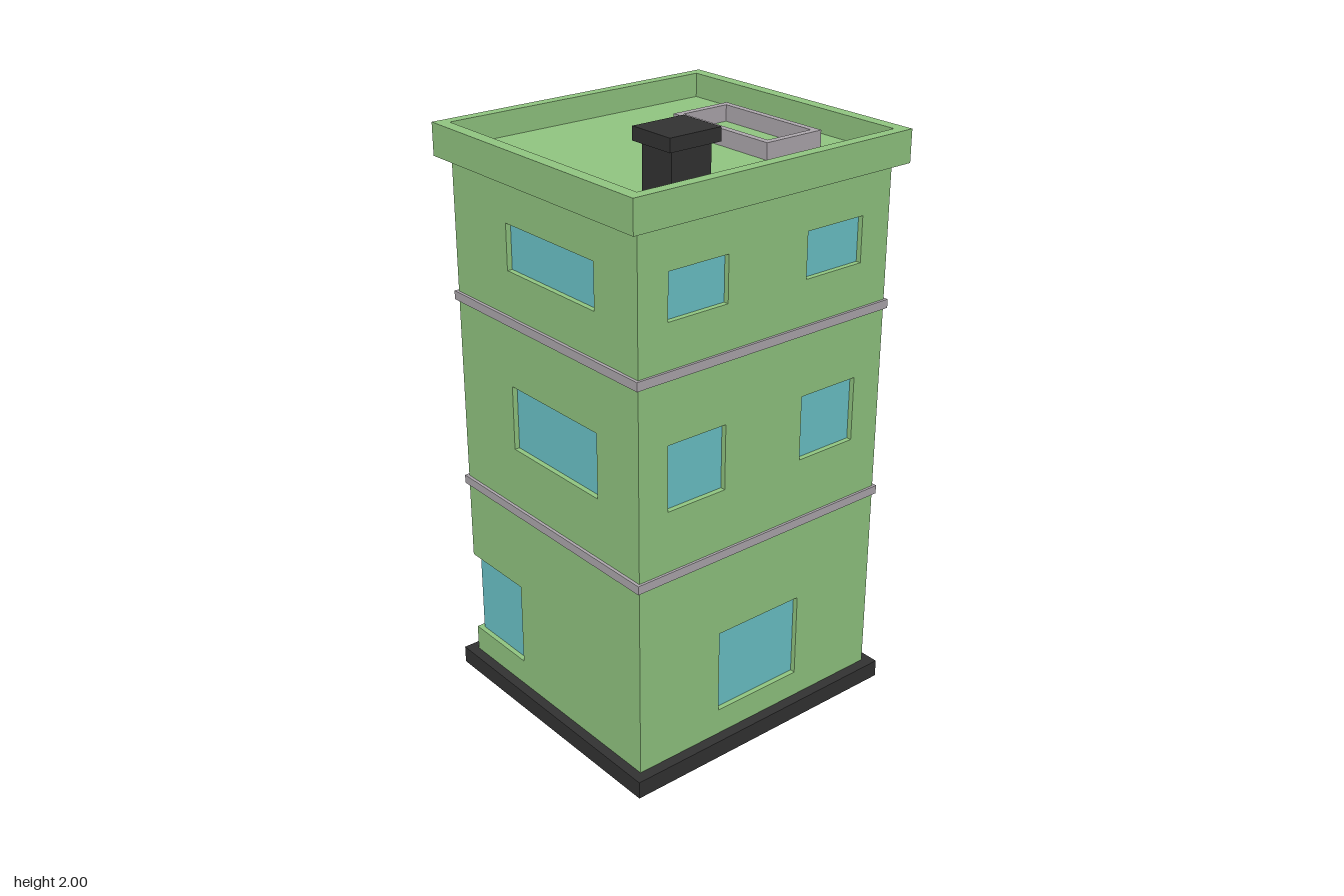
import * as THREE from 'three';

const mat = (color) => new THREE.MeshStandardMaterial({ color, flatShading: true });

export function createModel() {
  const model = new THREE.Group();
  const green = mat(0x93c882), glass = mat(0x6cc6cb), dark = mat(0x333333);
  const trim = mat(0xb0aab0), stone = mat(0x858585);

  // Box given by its limits on each axis
  function box(name, material, [x0, x1], [y0, y1], [z0, z1], parent = model) {
    const mesh = new THREE.Mesh(new THREE.BoxGeometry(x1 - x0, y1 - y0, z1 - z0), material);
    mesh.position.set((x0 + x1) / 2, (y0 + y1) / 2, (z0 + z1) / 2);
    mesh.name = name;
    parent.add(mesh);
    return mesh;
  }
  const rectPoints = (u0, u1, v0, v1) =>
    [[u0, v0], [u1, v0], [u1, v1], [u0, v1]].map(([u, v]) => new THREE.Vector2(u, v));

  // Horizontal rectangular ring with an open middle
  function ring(name, material, outer, inner, y0, y1) {
    const shape = new THREE.Shape(rectPoints(outer[0], outer[1], -outer[3], -outer[2]));
    shape.holes.push(new THREE.Path(rectPoints(inner[0], inner[1], -inner[3], -inner[2])));
    const geo = new THREE.ExtrudeGeometry(shape, { depth: y1 - y0, bevelEnabled: false });
    geo.rotateX(-Math.PI / 2);
    const mesh = new THREE.Mesh(geo, material);
    mesh.position.y = y0;
    mesh.name = name;
    model.add(mesh);
  }

  const X0 = -0.4, X1 = 0.475, Z = 0.475, T = 0.017;
  const BOTTOM = 0.06, TOP = 1.79;
  const GROUND = [0.15, 0.43], MIDDLE = [0.92, 1.13], UPPER = [1.5, 1.645];

  // Wall with window openings; notchL / notchR cut corner windows out of its ends
  function wall(name, angle, [u0, u1], windows, position, notchL, notchR) {
    const group = new THREE.Group();
    group.name = name;
    const [g0, g1] = GROUND;
    const pts = [[u0, BOTTOM], [u1, BOTTOM]];
    if (notchR !== undefined) pts.push([u1, g0], [notchR, g0], [notchR, g1], [u1, g1]);
    pts.push([u1, TOP], [u0, TOP]);
    if (notchL !== undefined) pts.push([u0, g1], [notchL, g1], [notchL, g0], [u0, g0]);
    const shape = new THREE.Shape(pts.map(([u, v]) => new THREE.Vector2(u, v)));
    const panes = [...windows];
    for (const [a, b, [v0, v1]] of windows) shape.holes.push(new THREE.Path(rectPoints(a, b, v0, v1)));
    // Corner panes meet on the recessed glass line
    const inset = angle === -Math.PI / 2 ? 0 : T;
    if (notchL !== undefined) panes.push([u0 + inset, notchL, GROUND]);
    if (notchR !== undefined) panes.push([notchR, u1 - inset, GROUND]);
    const panel = new THREE.Mesh(new THREE.ExtrudeGeometry(shape, { depth: T, bevelEnabled: false }), green);
    panel.name = 'wallPanel';
    group.add(panel);
    for (const [a, b, v] of panes) box('windowGlass', glass, [a, b], v, [-0.01, 0], group);
    group.rotation.y = angle;
    group.position.set(...position);
    model.add(group);
  }

  // Four walls
  const wide = [MIDDLE, UPPER];
  const sides = wide.flatMap((v) => [[-0.37, -0.155, v], [0.145, 0.365, v]]);
  const mirrored = sides.map(([a, b, v]) => [-b, -a, v]);
  wall('frontWall', 0, [X0, X1], wide.map((v) => [-0.13, 0.285, v]), [0, 0, Z - T], -0.13);
  wall('backWall', Math.PI, [-X1, -X0], wide.map((v) => [-0.285, 0.13, v]), [0, 0, -Z + T], undefined, 0.13);
  wall('leftWall', Math.PI / 2, [-Z + T, Z - T], [...sides, [-0.165, 0.16, GROUND]], [X1 - T, 0, 0]);
  wall('rightWall', -Math.PI / 2, [-Z + T, Z - T], mirrored, [X0 + T, 0, 0], -0.19, 0.19);

  // Plinth and floor bands
  box('plinth', dark, [-0.435, 0.51], [0.005, 0.063], [-0.508, 0.508]);
  for (const y of [0.695, 1.33])
    ring('floorBand', trim, [-0.41, 0.483, -0.485, 0.485], [X0 + 0.005, X1 - 0.005, -0.47, 0.47], y, y + 0.028);

  // Roof slab, parapet and skylight frame
  box('roofSlab', green, [X0, X1], [1.785, 1.808], [-Z, Z]);
  ring('parapet', green, [-0.435, 0.51, -0.515, 0.515], [X0, X1, -Z, Z], 1.783, 1.885);
  ring('skylightFrame', trim, [-0.13, 0.288, -0.368, -0.152], [-0.107, 0.266, -0.346, -0.174], 1.805, 1.86);

  // Chimney
  box('chimneyShaft', dark, [0.32, 0.442], [1.8, 1.965], [0.195, 0.333]);
  box('chimneyCap', dark, [0.303, 0.459], [1.96, 2], [0.175, 0.352]);

  // Double door: surround, two glazed leaves and handles
  const door = new THREE.Group();
  door.name = 'entranceDoor';
  model.add(door);
  for (const s of [-1, 1]) {
    const span = (a, b) => (s > 0 ? [a, b] : [-b, -a]);
    box('doorJamb', trim, [-0.423, -0.39], [0.06, 0.355], span(0.108, 0.128), door);
    box('doorGlass', glass, [-0.405, -0.39], [0.085, 0.32], span(0.015, 0.095), door);
    for (const [a, b] of [[0.002, 0.015], [0.095, 0.108]])
      box('doorStile', stone, [-0.411, -0.39], [0.06, 0.335], span(a, b), door);
    for (const [a, b] of [[0.06, 0.085], [0.32, 0.335]])
      box('doorRail', stone, [-0.411, -0.39], [a, b], span(0.015, 0.095), door);
    box('doorHandle', dark, [-0.418, -0.41], [0.18, 0.215], span(0.006, 0.012), door);
  }
  box('doorLintel', trim, [-0.423, -0.39], [0.335, 0.355], [-0.108, 0.108], door);

  // Entrance steps between two solid cheek blocks
  for (const z of [[-0.15, -0.054], [0.05, 0.146]])
    box('stepCheek', stone, [-0.515, -0.4], [0, 0.11], z);
  [-0.515, -0.486, -0.449].forEach((x, i) =>
    box('step', stone, [x, -0.4], [0, 0.03 * (i + 1)], [-0.054, 0.05]));

  return model;
}
